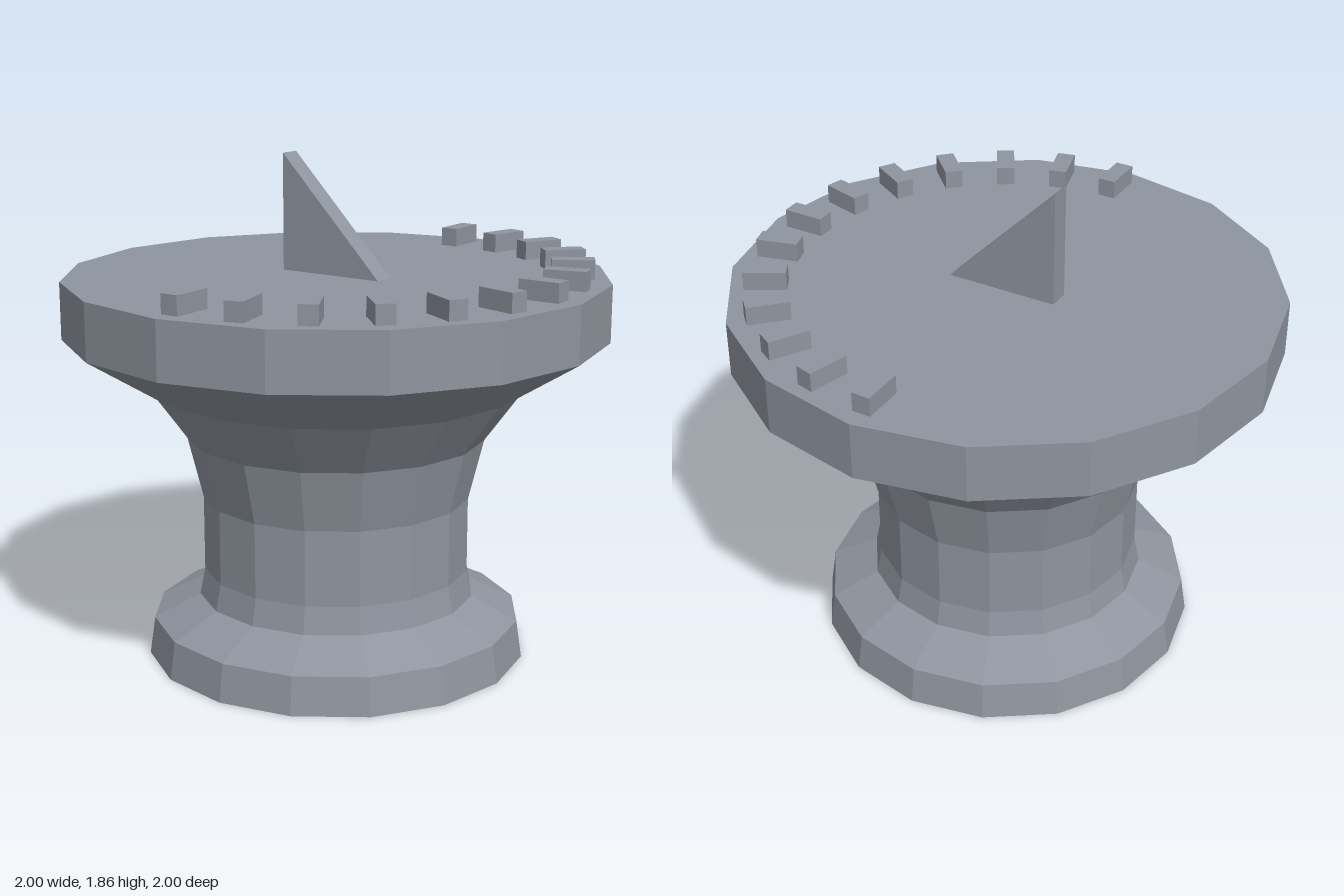
import * as THREE from 'three';

const DECK_Y = 1.43;

export function createModel() {
  const model = new THREE.Group();
  model.name = 'sundial';

  const stone = new THREE.MeshStandardMaterial({ color: 0x8f959f, flatShading: true, side: THREE.DoubleSide });
  stone.name = 'grey stone';

  const add = (name, geometry, parent = model) => {
    const mesh = new THREE.Mesh(geometry, stone);
    mesh.name = name;
    parent.add(mesh);
    return mesh;
  };

  // Sixteen-sided turned shells, open underneath
  const turned = (name, profile) => {
    const points = profile.map(([r, y]) => new THREE.Vector2(r, y));
    const geometry = new THREE.LatheGeometry(points, 16).toNonIndexed();
    geometry.computeVertexNormals();
    return add(name, geometry);
  };
  turned('foot', [[0.713, 0], [0.692, 0.14], [0.52, 0.225]]);
  turned('pillar', [[0.52, 0.225], [0.5, 0.325], [0.5, 0.605], [0.556, 0.835], [0.695, 1.028], [1, 1.22]]);
  turned('dialPlate', [[1, 1.22], [1, DECK_Y], [0, DECK_Y]]);

  // Triangular fin that casts the shadow, upright edge at the back
  const fin = new THREE.Shape([
    new THREE.Vector2(-0.21, 0),
    new THREE.Vector2(0.21, 0),
    new THREE.Vector2(0.21, 0.43),
  ]);
  const finGeometry = new THREE.ExtrudeGeometry(fin, { depth: 0.08, bevelEnabled: false });
  finGeometry.translate(0, 0, -0.04);
  finGeometry.rotateY(Math.PI / 2);
  add('gnomon', finGeometry).position.y = DECK_Y;

  // Thirteen hour blocks around the front half of the plate
  const hours = new THREE.Group();
  hours.name = 'hourMarkers';
  model.add(hours);
  const block = new THREE.BoxGeometry(0.155, 0.07, 0.068);
  for (let i = 0; i <= 12; i++) {
    const angle = (i * Math.PI) / 12;
    const marker = add('hourMarker', block, hours);
    marker.position.set(0.855 * Math.cos(angle), DECK_Y + 0.035, 0.855 * Math.sin(angle));
    marker.rotation.y = -angle;
  }

  return model;
}
